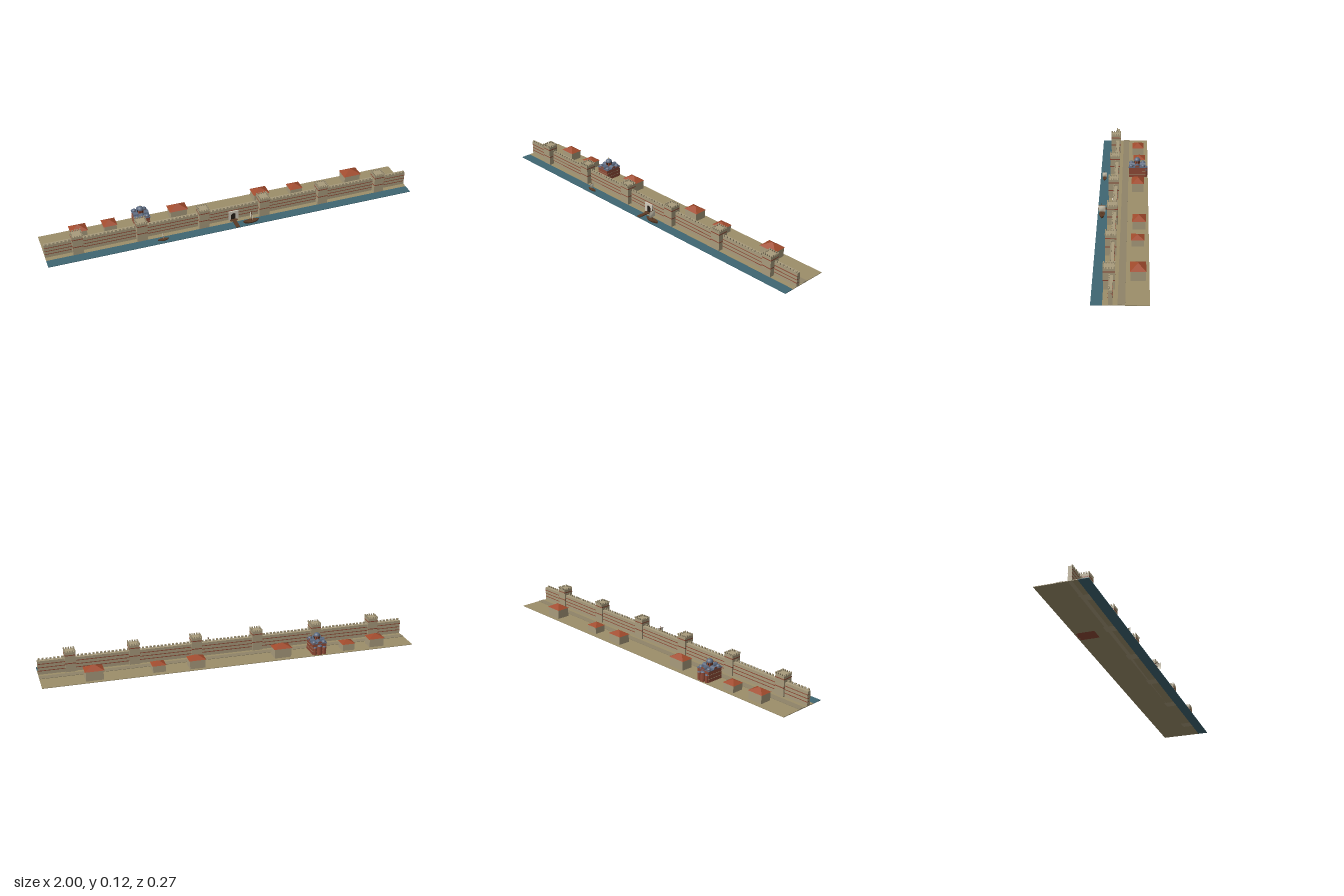
import * as THREE from 'three';
import { mergeGeometries } from 'three/addons/utils/BufferGeometryUtils.js';

const COL = {
  earth: 0x9c8e6a, road: 0x8f8468, water: 0x3f6672, stone: 0xa89b7c, brick: 0x8f4a36,
  roof: 0xa04a2c, lead: 0x5c6a80, wood: 0x5a3a24, sail: 0xcfc8b4, marble: 0xd2cabb, dark: 0x241c16, gold: 0xb8963c,
};
const mats = {};
const mat = (c) => (mats[c] ??= new THREE.MeshStandardMaterial({ color: COL[c], flatShading: !['lead', 'sail'].includes(c), side: THREE.DoubleSide }));

// box from centre x, bottom y, centre z
const box = (w, h, d, x, y, z) => new THREE.BoxGeometry(w, h, d).translate(x, y + h / 2, z);

function add(group, name, color, ...geos) {
  const flat = geos.map((g) => (g.index ? g.toNonIndexed() : g));
  const mesh = new THREE.Mesh(flat.length > 1 ? mergeGeometries(flat) : geos[0], mat(color));
  mesh.name = name;
  group.add(mesh);
  return mesh;
}
function sub(parent, name, x = 0, y = 0, z = 0) {
  const g = new THREE.Group();
  g.name = name;
  g.position.set(x, y, z);
  parent.add(g);
  return g;
}

// hipped roof with a short ridge along x
function hipRoof(w, h, d, ridge, y) {
  const g = new THREE.BoxGeometry(w, h, d).translate(0, y + h / 2, 0);
  const p = g.attributes.position;
  for (let i = 0; i < p.count; i++) {
    if (p.getY(i) > y + h / 2) p.setXYZ(i, Math.sign(p.getX(i)) * ridge / 2, y + h, Math.sign(p.getZ(i)) * 0.0005);
  }
  g.computeVertexNormals();
  return g;
}

// half dome of radius r sitting at height y
const dome = (r, x, y, z, squash = 1) =>
  new THREE.SphereGeometry(r, 16, 8, 0, Math.PI * 2, 0, Math.PI / 2).scale(1, squash, 1).translate(x, y, z);

function buildTower(parent, x) {
  const t = sub(parent, 'tower', x, 0, 0.053);
  const s = 0.055;
  add(t, 'towerBody', 'stone', box(s, 0.11, s, 0, 0, 0));
  add(t, 'towerBands', 'brick', ...[0.047, 0.091].map((y) => box(s + 0.001, 0.005, s + 0.001, 0, y, 0)));
  const merlons = [];
  for (let i = 0; i < 5; i++) for (let j = 0; j < 5; j++) {
    if (i % 4 && j % 4) continue;
    merlons.push(box(0.006, 0.009, 0.006, (i - 2) * 0.0127, 0.11, (j - 2) * 0.0127));
  }
  add(t, 'towerMerlons', 'stone', ...merlons);
}

function buildHouse(parent, x, z, w, d) {
  const h = sub(parent, 'house', x, 0, z);
  const k = w / 0.1;
  add(h, 'houseWalls', 'stone', box(w * 0.9, 0.051 * k, d * 0.94, 0, 0.002, 0));
  add(h, 'houseRoof', 'roof', hipRoof(w, 0.022 * k, d, w * 0.12, 0.002 + 0.051 * k));
}

function buildChurch(parent) {
  const c = sub(parent, 'church', -0.467, 0, -0.073);
  add(c, 'churchWalls', 'brick', box(0.076, 0.063, 0.092, 0, 0, 0));
  add(c, 'churchBands', 'stone', ...[0.02, 0.04].map((y) => box(0.077, 0.002, 0.093, 0, y, 0)));
  add(c, 'churchCornice', 'lead', box(0.082, 0.003, 0.096, 0, 0.062, 0));
  // crossing barrel vaults with brick ends
  const vault = (len) => new THREE.CylinderGeometry(0.0125, 0.0125, len, 16, 1, true, -Math.PI / 2, Math.PI).rotateX(-Math.PI / 2);
  add(c, 'vaultLeads', 'lead', vault(0.096).translate(0, 0.0645, 0), vault(0.082).rotateY(Math.PI / 2).translate(0, 0.0645, 0));
  const ends = [];
  for (let i = 0; i < 4; i++) {
    ends.push(new THREE.CircleGeometry(0.0125, 16, 0, Math.PI).translate(0, 0.0645, i % 2 ? 0.0405 : 0.0475).rotateY(i * Math.PI / 2));
  }
  add(c, 'vaultEnds', 'brick', ...ends);
  // four corner domes on low drums
  const drums = [], domes = [];
  for (const x of [-0.027, 0.027]) for (const z of [-0.033, 0.033]) {
    drums.push(new THREE.CylinderGeometry(0.011, 0.011, 0.004, 12).translate(x, 0.066, z));
    domes.push(dome(0.0118, x, 0.067, z, 0.85));
  }
  add(c, 'cornerDrums', 'brick', ...drums);
  add(c, 'cornerDomes', 'lead', ...domes);
  // main drum, windows and dome
  add(c, 'mainDrum', 'brick', new THREE.CylinderGeometry(0.016, 0.016, 0.022, 16).translate(0, 0.081, 0));
  const windows = [];
  for (let i = 0; i < 8; i++) windows.push(box(0.004, 0.01, 0.001, 0, 0.079, 0.0162).rotateY((i + 0.5) * Math.PI / 4));
  add(c, 'drumWindows', 'dark', ...windows);
  add(c, 'mainDome', 'lead', dome(0.0178, 0, 0.092, 0, 0.98));
  add(c, 'cross', 'gold', box(0.001, 0.009, 0.001, 0, 0.108, 0), box(0.001, 0.001, 0.004, 0, 0.113, 0), box(0.004, 0.001, 0.001, 0, 0.113, 0));
  // rear apses
  const walls = [], caps = [];
  for (const [x, r, h] of [[0, 0.0135, 0.05], [-0.026, 0.009, 0.042], [0.026, 0.009, 0.042]]) {
    walls.push(new THREE.CylinderGeometry(r, r, h, 14).translate(x, h / 2, -0.046));
    caps.push(dome(r + 0.0005, x, h, -0.046, 0.5));
  }
  add(c, 'apses', 'brick', ...walls);
  add(c, 'apseCaps', 'lead', ...caps);
  // front door and side windows
  add(c, 'churchDoor', 'dark', box(0.014, 0.028, 0.001, 0, 0.002, 0.0462));
}

function buildBoat(parent, x, z, len) {
  const b = sub(parent, 'boat', x, 0.004, z);
  b.scale.setScalar(len / 0.09);
  // pointed plan, swelling from keel to rim
  const hull = new THREE.BoxGeometry(0.09, 0.011, 0.031, 10, 1, 1).translate(0, 0.0055, 0);
  const p = hull.attributes.position;
  for (let i = 0; i < p.count; i++) {
    const u = p.getX(i) / 0.045, top = p.getY(i) > 0.005;
    p.setZ(i, p.getZ(i) * (1.02 - u * u) * (top ? 1 : 0.7));
    p.setX(i, p.getX(i) * (top ? 1 : 0.85));
    if (top) p.setY(i, 0.009 + 0.004 * u * u);
  }
  hull.computeVertexNormals();
  add(b, 'hull', 'wood', hull);
  add(b, 'mastAndYard', 'wood', new THREE.CylinderGeometry(0.001, 0.0014, 0.062, 8).translate(0, 0.038, 0), box(0.0012, 0.0012, 0.038, 0, 0.058, 0));
  const sail = new THREE.PlaneGeometry(0.036, 0.034, 6, 6).rotateY(Math.PI / 2).translate(0.001, 0.041, 0);
  const q = sail.attributes.position;
  for (let i = 0; i < q.count; i++) q.setX(i, 0.001 + 0.004 * Math.cos((q.getY(i) - 0.041) * 90) * Math.cos(q.getZ(i) * 85));
  sail.computeVertexNormals();
  add(b, 'sail', 'sail', sail);
}

// outline with a round arch, opening downwards
function arch(path, r, h) {
  path.moveTo(-r, 0).lineTo(-r, h);
  path.absarc(0, h, r, Math.PI, 0, true);
  path.lineTo(r, 0);
  return path;
}

function buildGate(parent) {
  const g = sub(parent, 'gate', 0, 0.002, 0);
  const frame = new THREE.Shape().moveTo(-0.027, 0).lineTo(-0.027, 0.054).lineTo(0.027, 0.054).lineTo(0.027, 0);
  frame.lineTo(0.014, 0).lineTo(0.014, 0.028);
  frame.absarc(0, 0.028, 0.014, 0, Math.PI, false);
  frame.lineTo(-0.014, 0);
  add(g, 'gateFrame', 'marble', new THREE.ExtrudeGeometry(frame, { depth: 0.008, bevelEnabled: false, curveSegments: 10 }).translate(0, 0, 0.052));
  add(g, 'gateDoor', 'dark', new THREE.ShapeGeometry(arch(new THREE.Shape(), 0.014, 0.028), 10).translate(0, 0, 0.0555));
}

export function createModel() {
  const root = new THREE.Group();
  root.name = 'walledHarbourTown';

  // ground strips
  const land = sub(root, 'ground');
  add(land, 'earth', 'earth', box(2, 0.003, 0.213, 0, 0, -0.0265));
  add(land, 'water', 'water', box(2, 0.003, 0.053, 0, 0, 0.1065));
  add(land, 'road', 'road', box(2, 0.003, 0.034, 0, 0.002, -0.006));

  // long wall with brick courses and battlements
  const wall = sub(root, 'cityWall');
  add(wall, 'wallBody', 'stone', box(2, 0.077, 0.02, 0, 0, 0.0435));
  add(wall, 'wallBands', 'brick', ...[0.021, 0.039, 0.058].map((y) => box(2, 0.004, 0.021, 0, y, 0.0435)));
  const merlons = [];
  for (let i = 0; i < 100; i++) merlons.push(box(0.011, 0.009, 0.006, -0.99 + i * 0.02, 0.077, 0.0505));
  add(wall, 'wallMerlons', 'stone', ...merlons);
  for (let i = 0; i < 6; i++) buildTower(root, (i - 2.5) / 3);
  buildGate(root);

  // houses behind the wall
  for (const [x, z, w, d] of [
    [-0.8, -0.077, 0.09, 0.068], [-0.635, -0.084, 0.073, 0.068], [-0.267, -0.077, 0.1, 0.068],
    [0.2, -0.084, 0.09, 0.07], [0.4, -0.077, 0.073, 0.066], [0.733, -0.08, 0.1, 0.075],
  ]) buildHouse(root, x, z, w, d);
  buildChurch(root);

  // jetty with posts
  const jetty = sub(root, 'jetty');
  add(jetty, 'jettyDeck', 'wood', box(0.02, 0.004, 0.073, 0, 0.004, 0.0965), box(0.04, 0.003, 0.012, 0, 0.003, 0.066));
  const posts = [];
  for (const x of [-0.009, 0.009]) for (const z of [0.085, 0.105, 0.13]) posts.push(box(0.003, 0.008, 0.003, x, 0, z));
  add(jetty, 'jettyPosts', 'wood', ...posts);

  buildBoat(root, 0.08, 0.11, 0.09);
  buildBoat(root, -0.4, 0.11, 0.06);
  return root;
}
